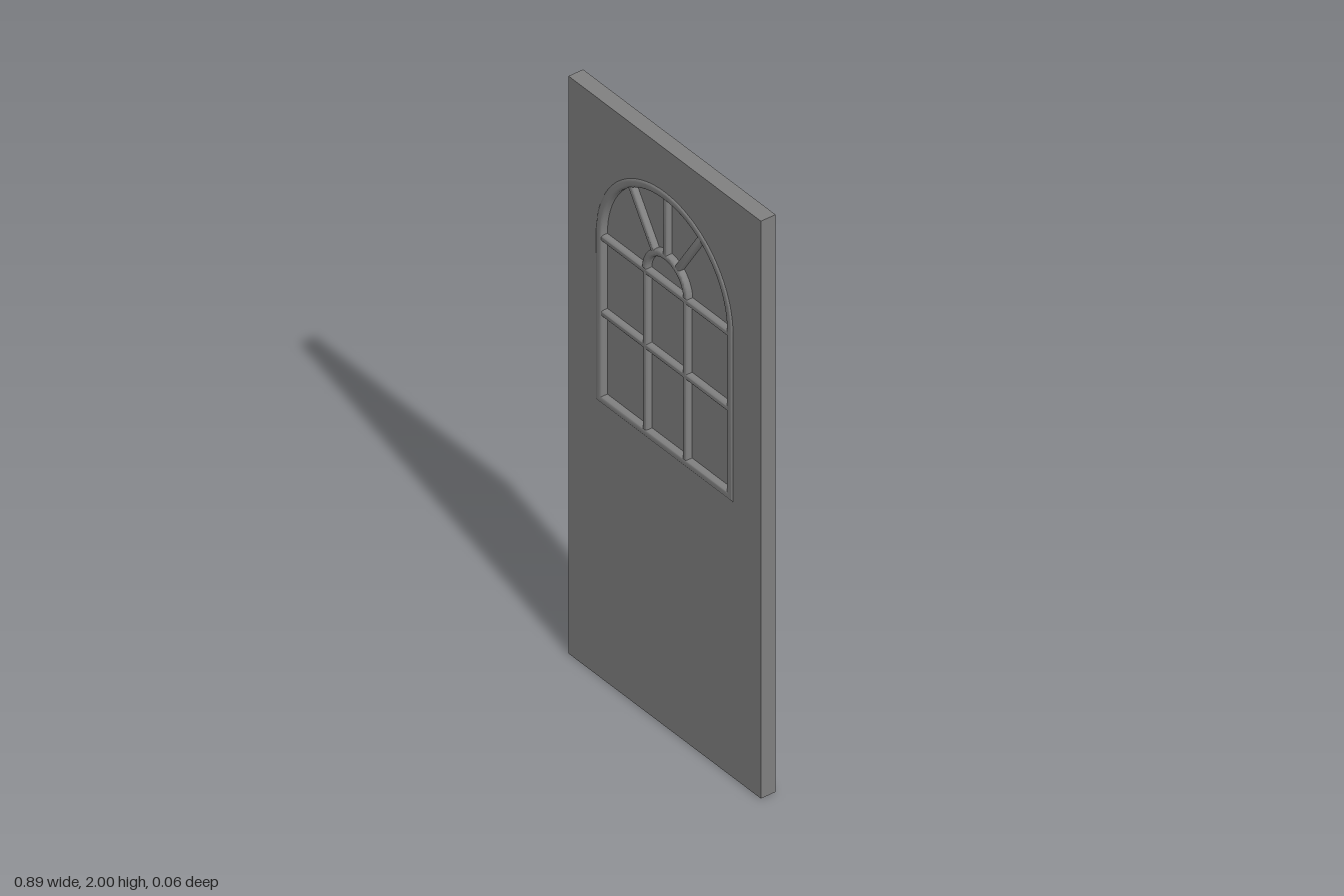
import * as THREE from 'three';
import { toCreasedNormals } from 'three/addons/utils/BufferGeometryUtils.js';

const SPRING = 1.535; // height where the window arch starts

export function createModel() {
  const door = new THREE.Group();
  door.name = 'door';
  const paint = new THREE.MeshStandardMaterial({ color: 0x808080 });
  paint.name = 'grey paint';

  // Extrudes a shape centred on z = 0, optionally with rounded edges
  function add(name, shape, depth, bevel = 0) {
    const thick = bevel ? 0.008 : 0;
    const g = new THREE.ExtrudeGeometry(shape, {
      depth: depth - 2 * thick, curveSegments: 40, bevelEnabled: bevel > 0,
      bevelThickness: thick, bevelSize: bevel, bevelOffset: -bevel, bevelSegments: 4,
    });
    g.translate(0, 0, -depth / 2 + thick);
    const mesh = new THREE.Mesh(toCreasedNormals(g, 0.6), paint);
    mesh.name = name;
    door.add(mesh);
    return mesh;
  }

  function rect(x0, y0, x1, y1) {
    return new THREE.Shape([[x0, y0], [x1, y0], [x1, y1], [x0, y1]].map(p => new THREE.Vector2(...p)));
  }

  // Round-topped outline
  function arch(r, bottom) {
    const s = new THREE.Shape();
    s.moveTo(-r, bottom);
    s.lineTo(r, bottom);
    s.lineTo(r, SPRING);
    s.absarc(0, SPRING, r, 0, Math.PI, false);
    return s;
  }

  // Slab with the window opening
  const slab = rect(-0.443, 0, 0.443, 2);
  slab.holes.push(arch(0.3, 0.968));
  add('doorSlab', slab, 0.052);

  // Recessed panes
  add('windowPanes', arch(0.302, 0.966), 0.016);

  // Raised moulding round the window
  const frame = arch(0.316, 0.953);
  frame.holes.push(arch(0.287, 0.979));
  add('windowFrame', frame, 0.06, 0.009);

  // Straight glazing bars
  const w = 0.011, barDepth = 0.056;
  for (const x of [-0.092, 0.092]) add('verticalBar', rect(x - w, 0.965, x + w, 1.53), barDepth, 0.007);
  for (const y of [1.265, 1.525]) add('horizontalBar', rect(-0.3, y - w, 0.3, y + w), barDepth, 0.007);

  // Small inner arch of the fan
  const hub = new THREE.Shape();
  hub.absarc(0, SPRING - 0.005, 0.106, 0, Math.PI, false);
  hub.absarc(0, SPRING - 0.005, 0.083, Math.PI, 0, true);
  add('fanArch', hub, barDepth, 0.007);

  // Spokes of the fan
  for (const angle of [-0.575, 0, 0.575]) {
    const spoke = add('fanSpoke', rect(-w, 0.095, w, 0.3), barDepth, 0.007);
    spoke.position.y = SPRING - 0.005;
    spoke.rotation.z = angle;
  }
  return door;
}
